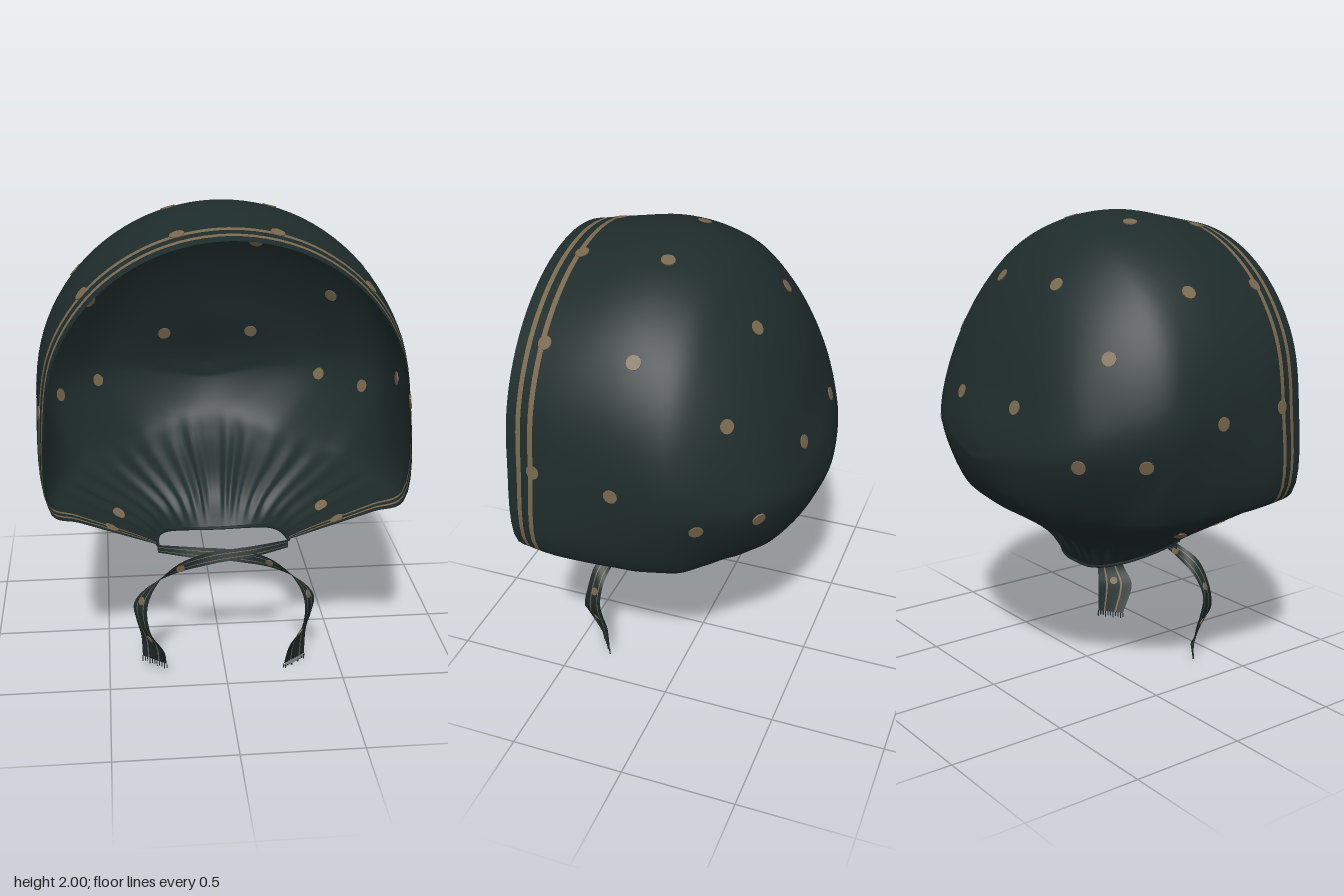
import * as THREE from 'three';
import { mergeVertices } from 'three/addons/utils/BufferGeometryUtils.js';

const V = (x, y, z) => new THREE.Vector3(x, y, z);
const flip = p => V(-p.x, p.y, p.z);

const cloth = new THREE.MeshStandardMaterial({ color: 0x1f2c2c, side: THREE.DoubleSide });
cloth.name = 'dark green cloth';
const tan = new THREE.MeshStandardMaterial({ color: 0x7a694e, side: THREE.DoubleSide });
tan.name = 'tan print';

// Half rows from the face rim to the back seam:
// [z, top y, half width, y of widest point, cheek corner, end on the neck edge]
const ROWS = [
  [0.562, 1.935, 0.712, 1.25, [0.705, 0.85, 0.55], [0.28, 0.575, 0.3]],
  [0.38, 1.97, 0.748, 1.25, [0.725, 0.845, 0.4], [0.28, 0.56, 0.24]],
  [0.2, 2.0, 0.76, 1.24, [0.705, 0.83, 0.2], [0.275, 0.545, 0.17]],
  [0.05, 1.99, 0.762, 1.22, [0.68, 0.82, 0.05], [0.26, 0.53, 0.1]],
  [-0.1, 1.94, 0.752, 1.18, [0.62, 0.81, -0.12], [0.23, 0.513, 0.04]],
  [-0.2, 1.865, 0.71, 1.15, [0.52, 0.81, -0.22], [0.19, 0.497, 0]],
  [-0.32, 1.73, 0.62, 1.12, [0.43, 0.82, -0.32], [0.15, 0.485, -0.025]],
  [-0.42, 1.54, 0.52, 1.1, [0.33, 0.83, -0.41], [0.11, 0.477, -0.04]],
  [-0.495, 1.32, 0.38, 1.08, [0.2, 0.86, -0.475], [0.075, 0.472, -0.048]],
  [-0.545, 1.18, 0.19, 1.05, [0.1, 0.875, -0.5], [0.038, 0.47, -0.05]],
  [-0.565, 1.1, 0, 1.02, [0, 0.88, -0.505], [0, 0.47, -0.05]],
];
const COLS = 48;
const SEGS = (ROWS.length - 1) * 2;

// Crown arc, cheek corner, then in to the neck, tucked in above its flared edge
function rowPoints([z, top, w, mid, c, e], row) {
  const pts = [];
  for (let i = -1; i <= 4; i++) {
    const a = i * Math.PI / 8;
    pts.push(V(w * Math.sin(a), mid + (top - mid) * Math.cos(a), z));
  }
  const corner = V(...c), end = V(...e);
  const tuck = corner.clone().lerp(end, 0.8);
  tuck.y += 0.007 * row;
  pts.push(corner, corner.clone().lerp(end, 0.25), tuck, end);
  const curve = new THREE.CatmullRomCurve3(pts);
  // The first span lies past the middle and only keeps the crown level there
  return Array.from({ length: COLS + 1 }, (_, j) => curve.getPoint((1 + 8 * j / COLS) / 9));
}

// Grid of points, turned into cells; isPrint(row, column) picks the printed cells
function gridGeometry(grid, isPrint) {
  const n = grid[0].length, plain = [], printed = [];
  for (let i = 0; i < grid.length - 1; i++)
    for (let j = 0; j < n - 1; j++) {
      const a = i * n + j, b = a + n;
      (isPrint(i, j) ? printed : plain).push(a, b, a + 1, b, b + 1, a + 1);
    }
  let g = new THREE.BufferGeometry().setFromPoints(grid.flat());
  g.setIndex([...plain, ...printed]);
  g.addGroup(0, plain.length, 0);
  g.addGroup(plain.length, printed.length, 1);
  g = mergeVertices(g, 1e-5);
  g.computeVertexNormals();
  return g;
}

function add(parent, name, geometry, material) {
  const m = new THREE.Mesh(geometry, material);
  m.name = name;
  parent.add(m);
  return m;
}

// Thin round dot laid on the nearest spot of a surface
function addDot(parent, geo, p, r) {
  const pos = geo.attributes.position, v = V(), best = V(), n = V();
  let d = Infinity;
  for (let i = 0; i < pos.count; i++) {
    v.fromBufferAttribute(pos, i);
    const e = v.distanceToSquared(p);
    if (e < d) {
      d = e;
      best.copy(v);
      n.fromBufferAttribute(geo.attributes.normal, i);
    }
  }
  const dot = add(parent, 'printedDot', new THREE.CylinderGeometry(r, r, 0.007, 14), tan);
  dot.position.copy(p).addScaledVector(n, n.dot(best) - n.dot(p));
  dot.quaternion.setFromUnitVectors(V(0, 1, 0), n);
}

function buildHood(group) {
  const half = ROWS.map(rowPoints);
  const columns = [];
  for (let j = 0; j <= COLS; j++) {
    const side = half.map(r => r[j]);
    columns.push(new THREE.CatmullRomCurve3([...side, ...side.slice(0, -1).reverse().map(flip)]));
  }

  // Row positions; the first and last spans are cut to hold the rim stripes
  const cuts = [0, 0.25, 0.37, 0.56, 0.69];
  const vs = [...cuts];
  for (let k = 8; k <= (SEGS - 1) * 8; k++) vs.push(k / 8);
  vs.push(...cuts.map(c => SEGS - c).reverse());
  const last = vs.length - 1;

  const { smoothstep } = THREE.MathUtils;
  const centre = V(0, 1.2, 0);
  const grid = vs.map(v => columns.map((c, j) => {
    const p = c.getPoint(v / SEGS);
    // Soft gathers fan out from the neck
    const m = Math.min(v, SEGS - v), t = j / COLS;
    const fade = smoothstep(t, 0.6, 0.85) * (1 - smoothstep(t, 0.88, 1)) * smoothstep(m, 0.9, 2);
    const wave = Math.cos(m * Math.PI * 2) + 0.5 * Math.cos(m * 4.1);
    const out = p.clone().sub(centre).normalize();
    return p.addScaledVector(out, 0.007 * fade * smoothstep(SEGS / 2 - m, 0, 1) * wave);
  }));
  const stripe = i => i === 1 || i === 3;
  const geo = gridGeometry(grid, i => stripe(i) || stripe(last - 1 - i));
  add(group, 'hood', geo, [cloth, tan]);

  // Binding along the neck edge
  const edge = new THREE.CatmullRomCurve3(grid.filter((r, i) => i % 4 === 0 || i === last).map(r => r[COLS]));
  add(group, 'neckBinding', new THREE.TubeGeometry(edge, 80, 0.008, 6), cloth);

  // Scattered dots, mirrored; the last four sit against the rim stripes
  const dots = [
    [0.59, 1.72, 0.06], [0.21, 1.98, 0.065], [0.76, 1.22, 0.1], [0.2, 1.74, -0.3],
    [0.53, 1.48, -0.28], [0.2, 1.26, -0.49], [0.5, 1.08, -0.4], [0.67, 1.08, -0.21],
    [0.45, 0.65, 0.16], [0.19, 1.93, 0.435], [0.55, 1.71, 0.435], [0.75, 1.24, 0.44], [0.48, 0.68, 0.36],
  ];
  for (const [x, y, z] of dots)
    for (const s of [1, -1]) addDot(group, geo, V(s * x, y, z), 0.029);
}

// Ribbon that starts at one side of the neck, crosses over and hangs on the other
function buildTie(group, name, s, lift, drop) {
  const tie = new THREE.Group();
  tie.name = name;
  const path = new THREE.CatmullRomCurve3([
    [0.28, 0.55, 0.29], [0.12, 0.542, 0.325], [-0.05, 0.525, 0.335], [-0.2, 0.49, 0.35], [-0.305, 0.43, 0.385],
    [-0.36, 0.34, 0.395], [-0.35, 0.24, 0.405], [-0.315, 0.16, 0.405], [-0.305, 0.055 - drop, 0.37],
  ].map(([x, y, z], i) => V(s * x, y, z + (i > 0 && i < 4 ? lift : 0))));
  const halfWidth = new THREE.CatmullRomCurve3([
    [0, 0.018, 0], [0, 0.022, -0.008], [0, 0.024, -0.008], [0.008, 0.027, 0.008], [0.02, 0.024, 0.03],
    [0.027, 0.01, 0.042], [0.028, 0, 0.058], [0.045, 0, 0.068], [0.05, 0, 0.038],
  ].map(([x, y, z]) => V(s * x, y, z)));
  const across = [-1, -0.55, -0.44, 0.3, 0.42, 1];
  const grid = [];
  for (let i = 0; i <= 48; i++) {
    const c = path.getPoint(i / 48), w = halfWidth.getPoint(i / 48);
    grid.push(across.map(a => c.clone().addScaledVector(w, a)));
  }
  const geo = gridGeometry(grid, (i, j) => j === 1 || j === 3);
  add(tie, 'ribbon', geo, [cloth, tan]);
  for (const [x, y, z] of [[-0.19, 0.49, 0.35], [-0.36, 0.36, 0.395], [-0.32, 0.18, 0.4]])
    addDot(tie, geo, V(s * x, y, z), 0.018);

  // Frayed end
  const end = path.getPoint(1), w = halfWidth.getPoint(1);
  for (let k = 0; k < 11; k++) {
    const len = k % 3 === 0 ? 0.028 : 0.02;
    const thread = add(tie, 'fringe', new THREE.BoxGeometry(0.004, len, 0.004), cloth);
    thread.position.copy(end).addScaledVector(w, -1 + k / 5);
    thread.position.y -= len / 2;
  }
  group.add(tie);
}

export function createModel() {
  const group = new THREE.Group();
  group.name = 'bonnet';
  buildHood(group);
  buildTie(group, 'rightTie', 1, 0.012, 0);
  buildTie(group, 'leftTie', -1, 0, 0.027);
  return group;
}
